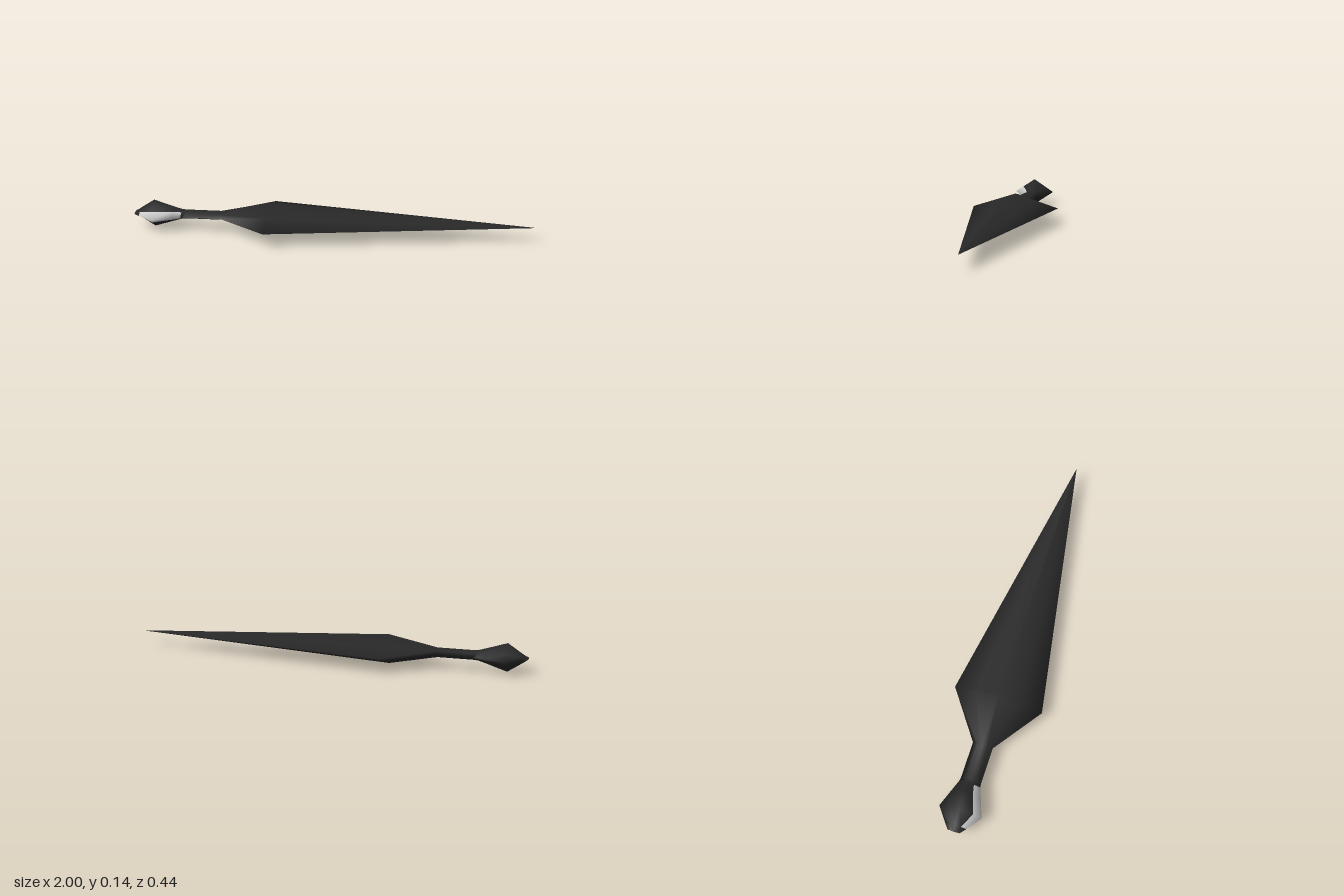
import * as THREE from 'three';

// Diamond sections along the length: x, half height, half width, paint split (0 edge .. 1 ridge)
const SECTIONS = [
  [-1, 0, 0, 0.5],
  [-0.998, 0.004, 0.03, 0.5],
  [-0.97, 0.024, 0.053, 0.5],
  [-0.9, 0.07, 0.105, 0.4],
  [-0.8, 0.038, 0.068, 0.55],
  [-0.76, 0.026, 0.053, 0.6],
  [-0.74, 0.024, 0.05, 0.5],
  [-0.56, 0.024, 0.05, 0.5],
  [-0.32, 0.072, 0.222, 0.5],
  [1, 0, 0, 0.5],
];
const SIDES = 8;
const CENTRE_Y = 0.072;

// Four diamond corners plus a split point on each face, running top -> front -> bottom -> back
function ring([x, h, w, f]) {
  const yz = [[1, 0], [f, 1 - f], [0, 1], [-f, 1 - f], [-1, 0], [-f, f - 1], [0, -1], [f, f - 1]];
  return yz.flatMap(([y, z]) => [x, CENTRE_Y + y * h, z * w]);
}

// Triangles for the chosen spans; keep(span, side) selects the quads
function quads(from, to, keep = () => true) {
  const index = [];
  for (let i = from; i < to; i++) {
    for (let j = 0; j < SIDES; j++) {
      if (!keep(i, j)) continue;
      const a = i * SIDES + j, b = i * SIDES + (j + 1) % SIDES;
      index.push(a, b, a + SIDES, b, b + SIDES, a + SIDES);
    }
  }
  return index;
}

export function createModel() {
  const group = new THREE.Group();
  const dark = new THREE.MeshStandardMaterial({ color: 0x272727 });
  dark.name = 'blackened steel';
  const pale = new THREE.MeshStandardMaterial({ color: 0xcccccc });
  pale.name = 'bare metal';

  // One smooth hull, so that shading runs on across the parts
  const hull = new THREE.BufferGeometry();
  hull.setAttribute('position', new THREE.Float32BufferAttribute(SECTIONS.flatMap(ring), 3));
  hull.setIndex(quads(0, SECTIONS.length - 1));
  hull.computeVertexNormals();

  const addPart = (name, index, material) => {
    const geometry = hull.clone();
    geometry.setIndex(index);
    const mesh = new THREE.Mesh(geometry, material);
    mesh.name = name;
    group.add(mesh);
  };

  // Bare patch along the front edge of the pommel
  const isPatch = (i, j) => i >= 2 && i < 5 && (j === 1 || j === 2);
  addPart('pommel', quads(0, 6, (i, j) => !isPatch(i, j)), dark);
  addPart('pommelPatch', quads(0, 6, isPatch), pale);
  addPart('grip', quads(6, 7), dark);
  addPart('blade', quads(7, 9), dark);

  group.name = 'throwingDagger';
  return group;
}
